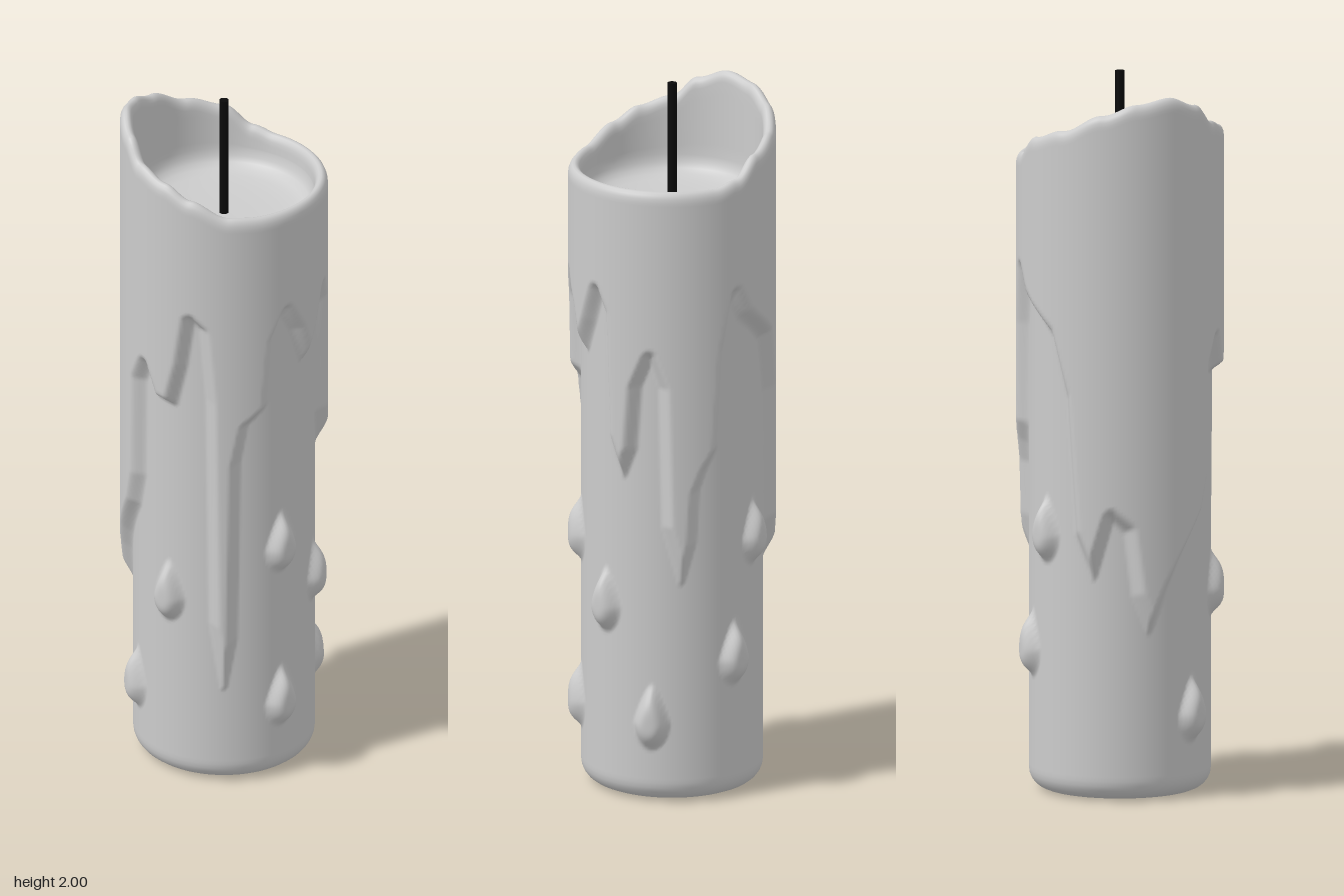
import * as THREE from 'three';

const SIDES = 224, WALL_ROWS = 190;
const CORE = 0.25, COAT = 0.036; // core radius, thickness of the melted coat
const RAD = Math.PI / 180;

// Lower edge of the melted coat: [degrees from the front towards +x, height]
const DRIP_EDGE = [
  [-73, 1.3], [-68, 1.45], [-61, 1.42], [-57, 1.2], [-55, 0.5], [-48, 0.3], [-42, 0.45], [-40, 1.0],
  [-35, 1.12], [-22, 1.17], [-18, 1.38], [-10, 1.46], [0, 1.38], [9, 1.27], [18, 1.36], [26, 1.46],
  [32, 1.4], [35, 1.05], [44, 0.94], [51, 1.02], [54, 1.2], [62, 1.29], [69, 1.2], [71, 0.8],
  [81, 0.64], [88, 0.75], [90, 0.9], [95, 0.96], [103, 1.02], [107, 1.3], [114, 1.46], [122, 1.39],
  [146, 1.3], [157, 1.13], [163, 0.75], [174, 0.63], [185, 0.8], [195, 0.76], [200, 0.58], [209, 0.48],
  [220, 0.6], [228, 0.67], [246, 0.8], [252, 0.9], [253, 1.2], [260, 1.27], [268, 1.18], [280, 1.17],
  [287, 1.3], [292, 1.45], [299, 1.42],
];

// Height of the melted rim, low at the front and high at the back
const RIM = [
  [-68, 1.82], [-45, 1.775], [-25, 1.77], [100, 1.77], [115, 1.785], [132, 1.84], [155, 1.87],
  [180, 1.92], [200, 1.95], [220, 1.965], [240, 1.935], [255, 1.88], [275, 1.855], [292, 1.82],
];

// Single wax drops: [degrees, height]
const DROPS = [[-9, 0.73], [29, 0.57], [-9, 0.25], [62, 0.25], [118, 0.42], [137, 0.75], [242, 0.25], [275, 0.58]];

const smooth = (t) => THREE.MathUtils.smoothstep(t, 0, 1);

// Value of a keyed curve at an angle
function sample(keys, deg, ease = (t) => t) {
  const i = Math.max(1, keys.findIndex((k) => k[0] >= deg));
  const [a0, y0] = keys[i - 1], [a1, y1] = keys[i];
  return y0 + (y1 - y0) * ease((deg - a0) / (a1 - a0));
}

// Signed distance to the drip edge, positive inside the coat
function edgeDistance(deg, y) {
  const scale = RAD * 0.27;
  let best = Infinity;
  for (let i = 1; i < DRIP_EDGE.length; i++) {
    const [a0, y0] = DRIP_EDGE[i - 1], [a1, y1] = DRIP_EDGE[i];
    const ex = (a1 - a0) * scale, ey = y1 - y0;
    const px = (deg - a0) * scale, py = y - y0;
    const t = THREE.MathUtils.clamp((px * ex + py * ey) / (ex * ex + ey * ey), 0, 1);
    best = Math.min(best, Math.hypot(px - ex * t, py - ey * t));
  }
  return y > sample(DRIP_EDGE, deg) ? best : -best;
}

// Teardrop bump: round below, pointed above
function dropBump(deg, y) {
  let bump = 0;
  for (const [a, cy] of DROPS) {
    const dx = (((deg - a + 540) % 360) - 180) * RAD * CORE;
    const v = y - cy + 0.02;
    if (Math.abs(dx) > 0.06 || v < -0.08 || v > 0.115) continue;
    const width = v > 0 ? 0.052 * (1 - 0.6 * v / 0.115) : 0.052;
    const q = 1 - (dx / width) ** 2 - (v / (v > 0 ? 0.115 : 0.08)) ** 2;
    if (q > 0) bump = Math.max(bump, 0.037 * smooth(q));
  }
  return bump;
}

function outerRadius(deg, y) {
  const coat = COAT * smooth((edgeDistance(deg, y) + 0.012) / 0.036);
  return CORE + Math.max(coat, dropBump(deg, y));
}

// Cross-section at one angle, from the base centre up, over the rim and into the melt pool
function section(deg) {
  const pts = [[0, 0], [0.12, 0], [0.19, 0.002]];
  for (let k = 1; k <= 6; k++) {
    const t = (k / 6) * Math.PI / 2;
    pts.push([0.195 + 0.055 * Math.sin(t), 0.057 - 0.055 * Math.cos(t)]);
  }
  const top = sample(RIM, deg, smooth);
  const y0 = 0.06, y1 = top - 0.03;
  for (let k = 1; k <= WALL_ROWS; k++) {
    const y = y0 + (y1 - y0) * k / WALL_ROWS;
    pts.push([outerRadius(deg, y), y]);
  }
  for (let k = 1; k <= 8; k++) {
    const t = (k / 8) * Math.PI;
    pts.push([0.268 + 0.018 * Math.cos(t), y1 + 0.03 * Math.sin(t)]);
  }
  for (let k = 1; k <= 6; k++) pts.push([0.25 - 0.002 * k / 6, y1 + (1.715 - y1) * k / 6]);
  pts.push([0.244, 1.695], [0.235, 1.68], [0.22, 1.668], [0.195, 1.66], [0.15, 1.654], [0.08, 1.65], [0, 1.65]);
  return pts;
}

function waxGeometry() {
  const pos = [], index = [];
  let rows = 0;
  for (let i = 0; i < SIDES; i++) {
    const deg = -68 + (360 * i) / SIDES;
    const pts = section(deg);
    rows = pts.length;
    for (const [r, y] of pts) pos.push(r * Math.sin(deg * RAD), y, r * Math.cos(deg * RAD));
  }
  for (let i = 0; i < SIDES; i++) {
    const a = i * rows, b = ((i + 1) % SIDES) * rows;
    for (let j = 0; j < rows - 1; j++) {
      if (j > 0) index.push(a + j, b + j, b + j + 1);
      if (j < rows - 2) index.push(a + j, b + j + 1, a + j + 1);
      
    }
  }
  const geo = new THREE.BufferGeometry();
  geo.setAttribute('position', new THREE.Float32BufferAttribute(pos, 3));
  geo.setIndex(index);
  geo.computeVertexNormals();
  return geo;
}

export function createModel() {
  const group = new THREE.Group();
  group.name = 'candle';

  // Wax body with drips, rim and melt pool
  const wax = new THREE.Mesh(waxGeometry(), new THREE.MeshStandardMaterial({ color: 0xcccccc }));
  wax.name = 'waxBody';

  // Wick
  const wick = new THREE.Mesh(
    new THREE.CylinderGeometry(0.013, 0.013, 0.36, 20),
    new THREE.MeshStandardMaterial({ color: 0x0a0a0a }),
  );
  wick.name = 'wick';
  wick.position.y = 1.82;

  group.add(wax, wick);
  return group;
}
